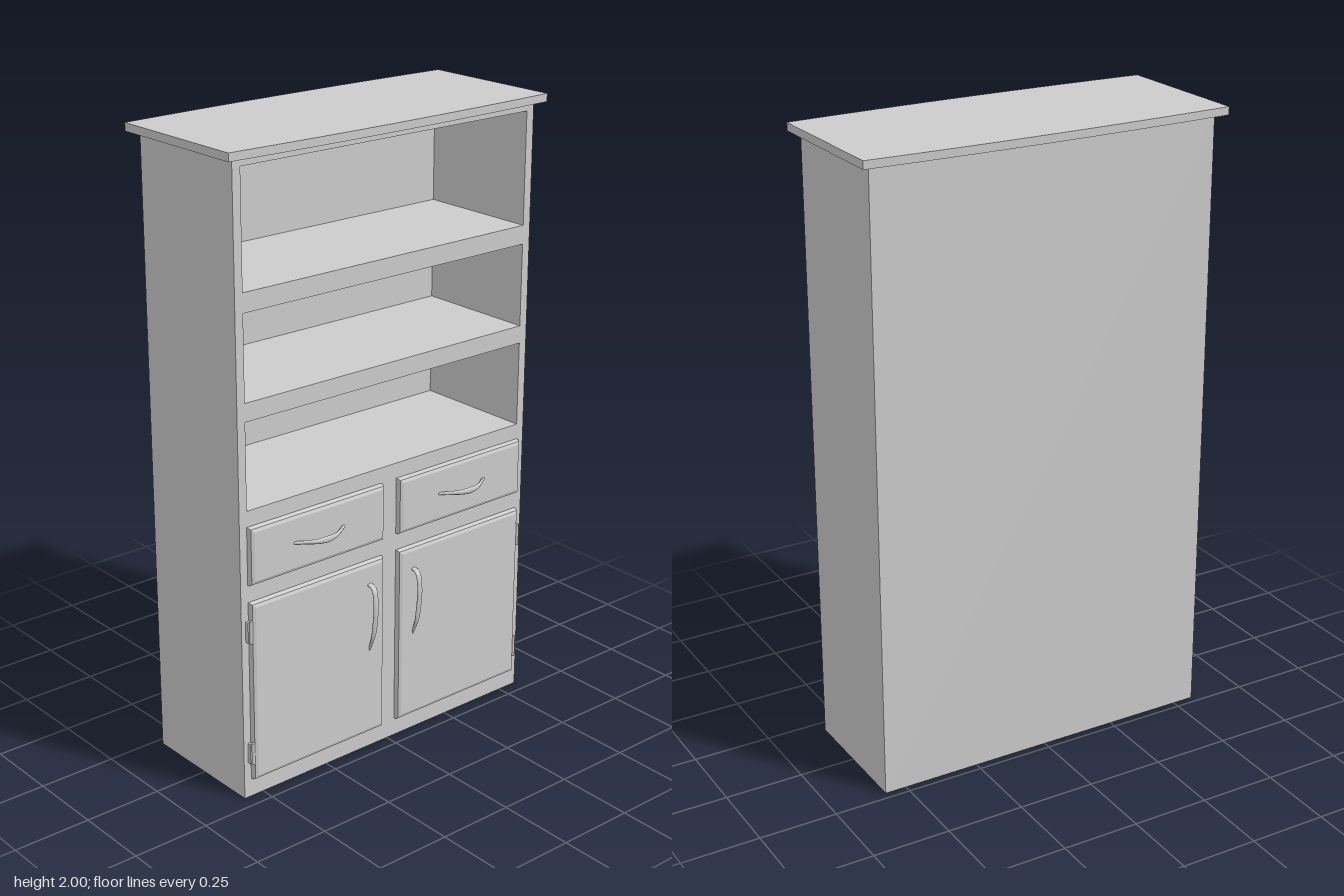
import * as THREE from 'three';

const material = new THREE.MeshStandardMaterial({ color: 0xcccccc });
const FRONT = 0.205, BACK = -0.225, PANEL = 0.224;

function add(parent, name, geometry, x = 0, y = 0, z = 0) {
  const mesh = new THREE.Mesh(geometry, material);
  mesh.name = name;
  mesh.position.set(x, y, z);
  parent.add(mesh);
  return mesh;
}

function rectangle(x0, x1, y0, y1, Type = THREE.Shape) {
  return new Type([[x0, y0], [x1, y0], [x1, y1], [x0, y1]].map(p => new THREE.Vector2(...p)));
}

// Door or drawer front with a softened edge
function frontPanel(x0, x1, y0, y1) {
  const b = 0.014;
  const geometry = new THREE.ExtrudeGeometry(rectangle(x0 + b, x1 - b, y0 + b, y1 - b), {
    depth: 0.006, bevelEnabled: true, bevelThickness: b, bevelSize: b, bevelSegments: 2,
  });
  geometry.translate(0, 0, PANEL - 0.006 - b);
  return geometry;
}

// Bowed pull along a path; the width across it (axis) follows a rule
function bowedPull(points, axis, width) {
  const curve = new THREE.CatmullRomCurve3(points.map(p => new THREE.Vector3(...p)));
  const radius = 0.005;
  const geometry = new THREE.TubeGeometry(curve, 28, radius, 8);
  const position = geometry.attributes.position;
  const v = new THREE.Vector3();
  for (let i = 0; i < position.count; i++) {
    v.fromBufferAttribute(position, i);
    v[axis] *= width(v) / radius;
    position.setXYZ(i, v.x, v.y, v.z);
  }
  geometry.computeVertexNormals();
  return geometry;
}

export function createModel() {
  const model = new THREE.Group();
  model.name = 'bookcaseCabinet';

  // Carcass with three open shelf bays
  const outline = rectangle(-0.57, 0.57, 0, 1.976);
  for (const [y0, y1] of [[0.94, 1.213], [1.27, 1.535], [1.595, 1.95]]) {
    outline.holes.push(rectangle(-0.542, 0.542, y0, y1, THREE.Path));
  }
  const depth = FRONT - BACK - 0.02;
  add(model, 'carcass', new THREE.ExtrudeGeometry(outline, { depth, bevelEnabled: false }), 0, 0, BACK + 0.02);
  add(model, 'backPanel', new THREE.BoxGeometry(1.14, 1.976, 0.02), 0, 0.988, BACK + 0.01);

  // Overhanging top, slightly bowed at front and back
  const topShape = new THREE.Shape();
  const n = 8;
  for (let i = 0; i <= n; i++) {
    const x = -0.6 + 1.2 * i / n;
    topShape.lineTo(x, -0.245 + 0.014 * (x / 0.6) ** 2);
  }
  for (let i = n; i >= 0; i--) {
    const x = -0.6 + 1.2 * i / n;
    topShape.lineTo(x, 0.268 - 0.013 * (x / 0.6) ** 2);
  }
  // Drop the unused starting point at the origin
  topShape.curves.shift();
  const topGeometry = new THREE.ExtrudeGeometry(topShape, { depth: 0.025, bevelEnabled: false });
  topGeometry.rotateX(-Math.PI / 2);
  add(model, 'top', topGeometry, 0, 1.975, 0);

  // Pulls: wide in the middle for drawers, tapering downward for doors
  const drawerPull = bowedPull(
    [[-0.097, 0, 0.22], [-0.07, 0, 0.238], [-0.035, 0, 0.258], [0, 0, 0.264],
      [0.035, 0, 0.258], [0.07, 0, 0.238], [0.097, 0, 0.22]],
    'y', v => 0.005 + 0.006 * Math.max(0, 1 - Math.abs(v.x) / 0.08));
  const doorPull = bowedPull(
    [[0, 0.577, 0.216], [0, 0.568, 0.242], [0, 0.52, 0.253], [0, 0.46, 0.25],
      [0, 0.4, 0.24], [0, 0.345, 0.218]],
    'x', v => 0.003 + 0.007 * THREE.MathUtils.smoothstep(v.y, 0.35, 0.44));

  for (const side of [-1, 1]) {
    const half = new THREE.Group();
    half.name = side > 0 ? 'leftHalf' : 'rightHalf';
    model.add(half);
    const [x0, x1] = side > 0 ? [0.03, 0.544] : [-0.544, -0.03];
    add(half, 'drawerFront', frontPanel(x0, x1, 0.706, 0.89));
    add(half, 'door', frontPanel(x0, x1, 0.06, 0.65));
    add(half, 'drawerPull', drawerPull, side * 0.288, 0.8, 0);
    add(half, 'doorPull', doorPull, side * 0.09, 0, 0);

    // Hinges on the outer door edge
    for (const y of [0.152, 0.558]) {
      add(half, 'hingeLeaf', new THREE.BoxGeometry(0.02, 0.066, 0.014), side * 0.545, y, FRONT + 0.006);
      add(half, 'hingePin', new THREE.CylinderGeometry(0.006, 0.006, 0.072, 10), side * 0.545, y, FRONT + 0.013);
    }
  }
  return model;
}
